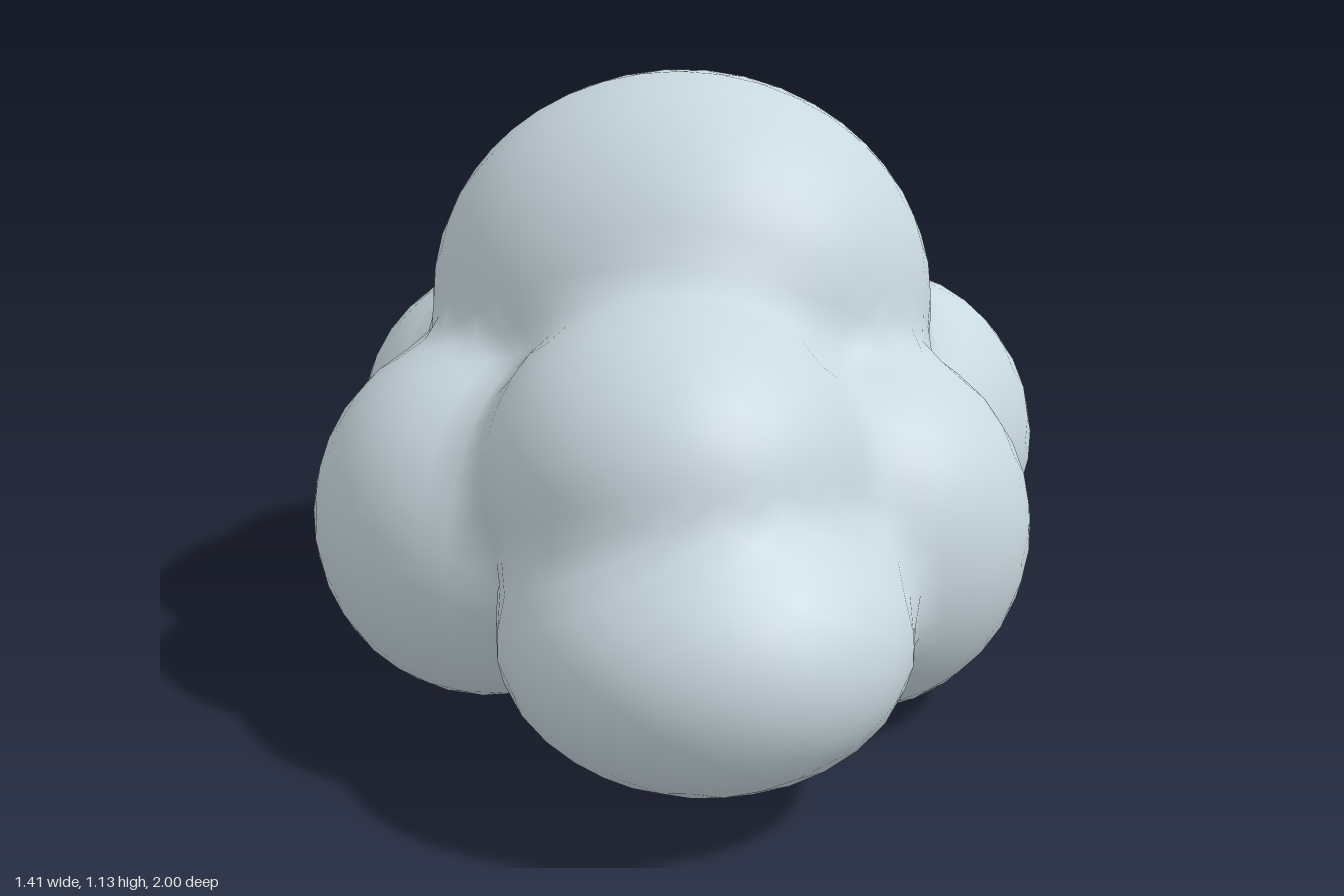
import * as THREE from 'three';
import { mergeVertices } from 'three/addons/utils/BufferGeometryUtils.js';

// Puffs of the cloud: centre x, y, z, then radius x, y, z
const PUFFS = [
  [0, 0.695, -0.005, 0.48, 0.44, 0.425],  // dome
  [0, 0.30, 0, 0.50, 0.275, 0.50],        // core
  [0.03, 0.53, 0.50, 0.33, 0.285, 0.335], // front upper
  [0.10, 0.30, 0.67, 0.35, 0.25, 0.33],   // front lower
  [0, 0.54, -0.49, 0.33, 0.285, 0.325],   // back upper
  [0, 0.30, -0.66, 0.35, 0.25, 0.34],     // back lower
];
for (const s of [-1, 1]) {
  PUFFS.push([s * 0.335, 0.34, 0.245, 0.33, 0.345, 0.335]); // side, front
  PUFFS.push([s * 0.36, 0.34, -0.28, 0.345, 0.35, 0.35]);   // side, back
}

// Softly blended distance to all puffs, negative inside
function field(p) {
  const k = 50;
  let sum = 0;
  for (const [x, y, z, a, b, c] of PUFFS) {
    const q = Math.hypot((p.x - x) / a, (p.y - y) / b, (p.z - z) / c);
    sum += Math.exp(-k * (q - 1) * Math.min(a, b, c));
  }
  return -Math.log(sum + 1e-30) / k;
}

// Shrink a sphere onto the blended puffs, then flatten the underside
function cloudGeometry() {
  let geo = new THREE.IcosahedronGeometry(1, 13);
  geo.deleteAttribute('uv');
  geo.deleteAttribute('normal');
  geo = mergeVertices(geo, 1e-4);
  const pos = geo.attributes.position;
  const centre = new THREE.Vector3(0, 0.36, 0);
  const dir = new THREE.Vector3();
  const p = new THREE.Vector3();
  const at = (t) => p.copy(centre).addScaledVector(dir, t);
  for (let i = 0; i < pos.count; i++) {
    dir.fromBufferAttribute(pos, i);
    dir.set(dir.x * 0.72, dir.y * 0.65, dir.z).normalize();
    let out = 1.3;
    while (out > 0.05 && field(at(out)) > 0) out -= 0.02;
    let inside = out;
    out += 0.02;
    for (let n = 0; n < 12; n++) {
      const mid = (inside + out) / 2;
      if (field(at(mid)) > 0) out = mid; else inside = mid;
    }
    at(inside);
    p.y = Math.max(p.y, 0.1 * p.z * p.z);
    pos.setXYZ(i, p.x, p.y, p.z);
  }
  geo.computeVertexNormals();
  return geo;
}

export function createModel() {
  const group = new THREE.Group();
  group.name = 'cloud';
  const paleBlue = new THREE.MeshStandardMaterial({ color: 0xc9d8df });
  paleBlue.name = 'paleBlueGrey';
  const body = new THREE.Mesh(cloudGeometry(), paleBlue);
  body.name = 'cloudBody';
  group.add(body);
  return group;
}
